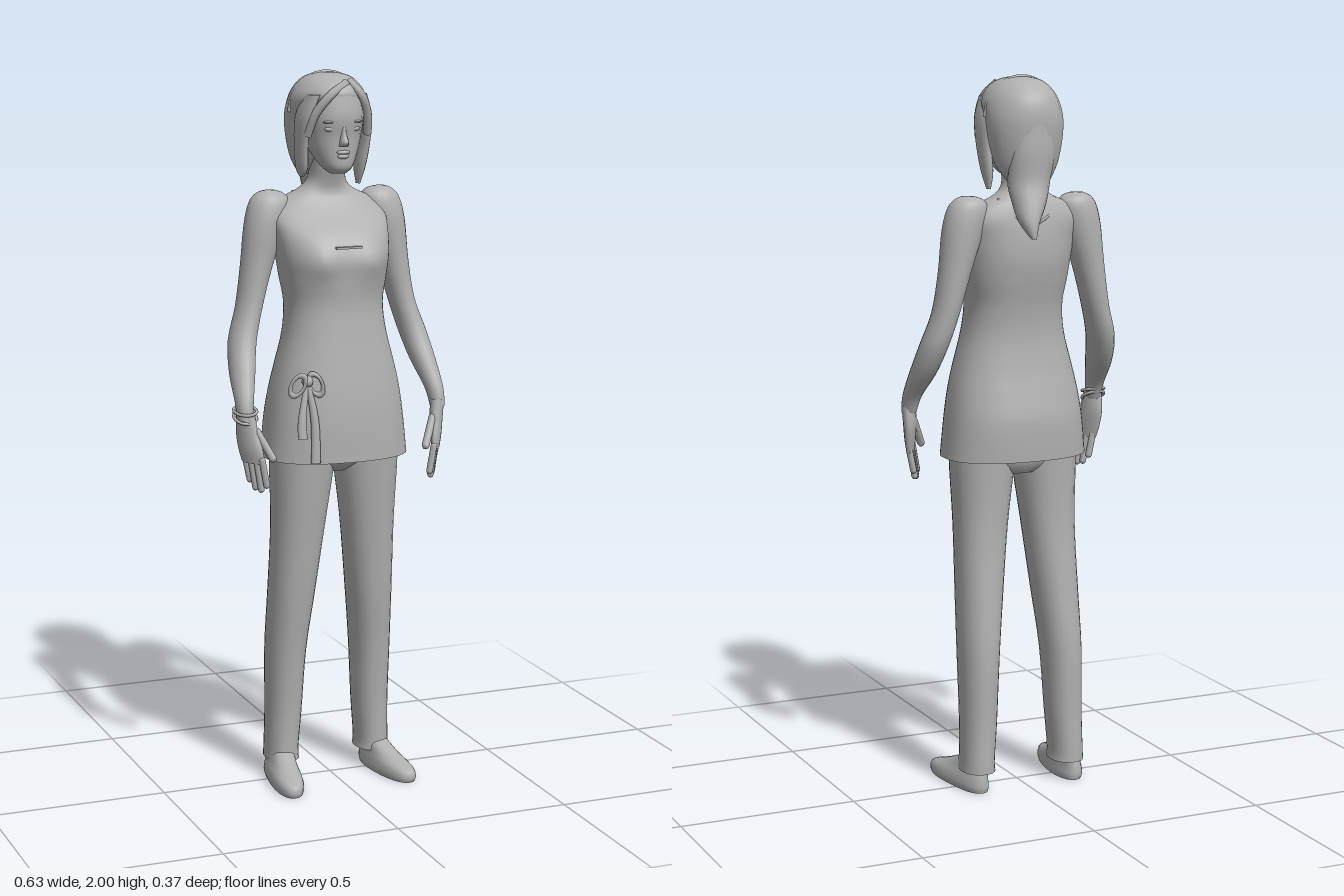
import * as THREE from 'three';

const grey = new THREE.MeshStandardMaterial({ color: 0xb0b0b0, side: THREE.DoubleSide });
grey.name = 'plain grey';

// Smooth value through four neighbouring ring values
const cubic = (a, b, c, d, t) =>
  b + 0.5 * t * (c - a + t * (2 * a - 5 * b + 4 * c - d + t * (3 * (b - c) + d - a)));

// Skin stacked rings, bottom to top: [y, xMin, xMax, zBack, zFront]; n squares the outline
function loft(name, rings, { n = 2, seg = 24, sub = 4, side = 1, caps = true, warp } = {}) {
  const rows = [];
  const last = rings.length - 1;
  for (let i = 0; i <= last * sub; i++) {
    const k = Math.min(Math.floor(i / sub), last - 1), t = i / sub - k;
    const at = (j) => rings[Math.max(0, Math.min(last, j))];
    rows.push(rings[0].map((_, c) => cubic(at(k - 1)[c], at(k)[c], at(k + 1)[c], at(k + 2)[c], t)));
  }
  const pos = [], idx = [];
  const bend = (v) => Math.sign(v) * Math.pow(Math.abs(v), 2 / n);
  const put = (row, a, r = 1) => {
    const [y, x0, x1, z0, z1] = row;
    const v = new THREE.Vector3(
      (side * (x0 + x1)) / 2 + (r * bend(Math.cos(a)) * (x1 - x0)) / 2, y,
      (z0 + z1) / 2 + (r * bend(Math.sin(a)) * (z1 - z0)) / 2);
    if (warp) warp(v);
    pos.push(v.x, v.y, v.z);
  };
  rows.forEach((row) => { for (let j = 0; j < seg; j++) put(row, (j / seg) * Math.PI * 2); });
  for (let i = 0; i < rows.length - 1; i++) {
    for (let j = 0; j < seg; j++) {
      const a = i * seg + j, b = i * seg + ((j + 1) % seg);
      idx.push(a, a + seg, b, b, a + seg, b + seg);
    }
  }
  // Separate cap corners keep the end edges crisp
  if (caps) [rows[0], rows[rows.length - 1]].forEach((row, top) => {
    const c = pos.length / 3;
    put(row, 0, 0);
    for (let j = 0; j < seg; j++) put(row, (j / seg) * Math.PI * 2);
    for (let j = 0; j < seg; j++) {
      const a = c + 1 + j, b = c + 1 + ((j + 1) % seg);
      if (top) idx.push(c, b, a); else idx.push(c, a, b);
    }
  });
  const g = new THREE.BufferGeometry();
  g.setAttribute('position', new THREE.Float32BufferAttribute(pos, 3));
  g.setIndex(idx);
  g.computeVertexNormals();
  return part(name, g);
}

function part(name, geometry, x = 0, y = 0, z = 0) {
  const m = new THREE.Mesh(geometry, grey);
  m.name = name;
  m.position.set(x, y, z);
  return m;
}

function blob(name, x, y, z, sx, sy, sz) {
  const m = part(name, new THREE.SphereGeometry(1, 14, 10), x, y, z);
  m.scale.set(sx, sy, sz);
  return m;
}

function tube(name, points, r) {
  const curve = new THREE.CatmullRomCurve3(points.map((p) => new THREE.Vector3(...p)));
  return part(name, new THREE.TubeGeometry(curve, 14, r, 6), 0, 0, 0);
}

// Finger with a rounded tip
function finger(name, from, to, r) {
  const a = new THREE.Vector3(...from), b = new THREE.Vector3(...to);
  const m = part(name, new THREE.CapsuleGeometry(r, a.distanceTo(b) - r, 3, 8));
  m.position.copy(a).lerp(b, 0.5);
  m.quaternion.setFromUnitVectors(new THREE.Vector3(0, 1, 0), b.sub(a).normalize());
  return m;
}

function makeHand(s) {
  const hand = new THREE.Group();
  hand.name = s > 0 ? 'leftHand' : 'rightHand';
  hand.add(loft('palm', [
    [-0.125, -0.01, 0.01, -0.012, 0.066], [-0.09, -0.015, 0.014, -0.024, 0.06],
    [-0.045, -0.02, 0.016, -0.032, 0.042], [0.01, -0.02, 0.02, -0.027, 0.027],
  ], { side: s, seg: 16 }));
  for (let i = 0; i < 4; i++) {
    const z = -0.002 + i * 0.0195, len = [0.06, 0.08, 0.084, 0.07][i];
    hand.add(finger('finger', [0, -0.11, z], [-0.012 * s, -0.12 - len, z + 0.008], 0.0095));
  }
  hand.add(finger('thumb', [-0.008 * s, -0.035, 0.03], [-0.022 * s, -0.115, 0.08], 0.011));
  hand.position.set(0.285 * s, 1.08, 0.096);
  hand.rotation.y = -0.55 * s;
  return hand;
}

function makeHead() {
  const head = new THREE.Group();
  head.name = 'head';
  head.add(loft('face', [
    [1.727, -0.022, 0.022, 0.035, 0.082], [1.745, -0.042, 0.042, 0, 0.098],
    [1.785, -0.064, 0.064, -0.05, 0.1], [1.83, -0.077, 0.077, -0.08, 0.102],
    [1.88, -0.082, 0.082, -0.08, 0.109], [1.94, -0.075, 0.075, -0.08, 0.1],
  ], { n: 2.2 }));
  head.add(loft('nose', [
    [1.803, -0.013, 0.013, 0.085, 0.112], [1.814, -0.012, 0.012, 0.085, 0.123],
    [1.835, -0.008, 0.008, 0.085, 0.112], [1.86, -0.006, 0.006, 0.085, 0.106],
  ], { seg: 12 }));
  head.add(blob('upperLip', 0, 1.786, 0.099, 0.02, 0.006, 0.009));
  head.add(blob('lowerLip', 0, 1.775, 0.098, 0.017, 0.007, 0.009));
  for (const s of [-1, 1]) {
    head.add(blob('eye', 0.034 * s, 1.849, 0.09, 0.017, 0.008, 0.009));
    head.add(blob('brow', 0.036 * s, 1.868, 0.095, 0.022, 0.004, 0.008));
  }

  // Hair cap, fringe, side locks and tail
  head.add(loft('hairCap', [
    [1.715, -0.06, 0.06, -0.125, -0.035], [1.76, -0.088, 0.088, -0.135, 0.005],
    [1.82, -0.103, 0.103, -0.147, 0.03], [1.88, -0.108, 0.108, -0.152, 0.05],
    [1.93, -0.103, 0.103, -0.145, 0.1], [1.965, -0.083, 0.083, -0.12, 0.085],
    [1.986, -0.055, 0.055, -0.085, 0.05], [1.994, -0.018, 0.018, -0.04, 0.01],
  ]));
  for (const s of [-1, 1]) {
    head.add(loft('sideLock', [
      [s > 0 ? 1.69 : 1.715, 0.078, 0.088, -0.01, 0.012], [1.74, 0.07, 0.1, -0.02, 0.035],
      [1.81, 0.074, 0.107, -0.02, 0.055], [1.88, 0.07, 0.105, -0.02, 0.075],
      [1.94, 0.05, 0.085, 0, 0.085],
    ], { side: s, seg: 12 }));
  }
  head.add(tube('fringe', [[0.03, 1.975, 0.06], [0.055, 1.94, 0.09], [0.078, 1.89, 0.077], [0.088, 1.83, 0.055]], 0.012));
  head.add(tube('fringe', [[0.02, 1.97, 0.07], [-0.035, 1.94, 0.095], [-0.073, 1.89, 0.08], [-0.088, 1.83, 0.055]], 0.012));
  head.add(loft('hairTail', [
    [1.567, 0.022, 0.036, -0.187, -0.165], [1.61, 0.002, 0.058, -0.183, -0.115],
    [1.66, -0.028, 0.066, -0.17, -0.078], [1.72, -0.05, 0.07, -0.153, -0.05],
    [1.8, -0.06, 0.065, -0.155, -0.07], [1.9, -0.04, 0.04, -0.15, -0.08],
  ], { seg: 16 }));
  head.add(part('hairBand', new THREE.TorusGeometry(0.107, 0.005, 6, 32, Math.PI), 0, 1.888, -0.03));
  return head;
}

export function createModel() {
  const model = new THREE.Group();
  model.name = 'standingWoman';
  model.add(makeHead());

  // Tunic and upper body, with a rule that shapes the bust
  const bust = (v) => {
    if (v.z < 0.03) return;
    const h = Math.exp(-(((v.y - 1.49) / 0.055) ** 2));
    v.z += h * (0.016 * Math.exp(-(((Math.abs(v.x) - 0.075) / 0.045) ** 2)) - 0.004);
  };
  model.add(loft('torso', [
    [0.945, -0.206, 0.206, -0.122, 0.176], [1.05, -0.195, 0.195, -0.124, 0.174],
    [1.13, -0.183, 0.183, -0.11, 0.167], [1.2, -0.167, 0.167, -0.096, 0.158],
    [1.29, -0.144, 0.144, -0.086, 0.146], [1.37, -0.136, 0.136, -0.092, 0.138],
    [1.44, -0.147, 0.147, -0.106, 0.143], [1.5, -0.156, 0.156, -0.115, 0.148],
    [1.56, -0.162, 0.162, -0.114, 0.118], [1.61, -0.165, 0.165, -0.108, 0.062],
    [1.65, -0.13, 0.13, -0.098, 0.025], [1.675, -0.08, 0.08, -0.088, 0.016],
    [1.7, -0.054, 0.054, -0.078, 0.02], [1.74, -0.047, 0.047, -0.07, 0.032],
    [1.8, -0.047, 0.047, -0.065, 0.04],
  ], { n: 2.4, seg: 48, caps: false, warp: bust }));
  model.add(part('necklineFold', new THREE.BoxGeometry(0.075, 0.006, 0.02), 0, 1.532, 0.135));
  model.add(tube('backNeckline', [[-0.085, 1.668, -0.065], [-0.055, 1.625, -0.099],
    [0, 1.6, -0.109], [0.055, 1.625, -0.099], [0.085, 1.668, -0.065]], 0.004));
  model.add(loft('hips', [
    [0.9, -0.06, 0.06, -0.05, 0.07], [0.95, -0.17, 0.17, -0.075, 0.12], [1.1, -0.17, 0.17, -0.09, 0.14],
  ]));

  // Tied sash at the right hip
  const bow = new THREE.Group();
  bow.name = 'sashBow';
  bow.add(blob('knot', -0.125, 1.175, 0.15, 0.016, 0.016, 0.016));
  for (const [dx, turn] of [[-0.028, 0.5], [0.024, -0.4]]) {
    const loop = part('bowLoop', new THREE.TorusGeometry(0.022, 0.006, 6, 16), -0.125 + dx, 1.165, 0.152);
    loop.scale.set(0.8, 1.4, 1);
    loop.rotation.set(0, -0.4, -turn);
    bow.add(loop);
  }
  for (const [x, low] of [[-0.108, 0.95], [-0.145, 1.02]]) {
    bow.add(loft('sashTail', [
      [low, x - 0.014, x + 0.014, 0.162, 0.178], [1.07, x - 0.012, x + 0.012, 0.15, 0.172],
      [1.175, -0.132, -0.118, 0.142, 0.154],
    ], { seg: 10 }));
  }
  model.add(bow);

  for (const s of [-1, 1]) {
    const tag = s > 0 ? 'left' : 'right';
    model.add(loft(tag + 'Arm', [
      [1.07, 0.265, 0.305, 0.07, 0.122], [1.12, 0.256, 0.307, 0.044, 0.112],
      [1.19, 0.235, 0.304, -0.02, 0.078], [1.27, 0.215, 0.292, -0.063, 0.038],
      [1.36, 0.19, 0.264, -0.08, 0.017], [1.47, 0.158, 0.247, -0.088, 0.014],
      [1.58, 0.12, 0.236, -0.092, 0.018], [1.64, 0.105, 0.222, -0.088, 0.01],
      [1.666, 0.12, 0.203, -0.076, -0.005], [1.676, 0.145, 0.182, -0.055, -0.025],
    ], { side: s, seg: 20 }));
    model.add(makeHand(s));

    // Trouser leg with a slightly flared hem
    model.add(loft(tag + 'TrouserLeg', [
      [0.055, 0.09, 0.186, -0.096, 0.034], [0.09, 0.092, 0.184, -0.096, 0.034],
      [0.2, 0.083, 0.182, -0.094, 0.038], [0.38, 0.073, 0.183, -0.096, 0.056],
      [0.55, 0.054, 0.18, -0.082, 0.08], [0.75, 0.03, 0.178, -0.066, 0.102],
      [0.93, 0.006, 0.184, -0.07, 0.122], [1.02, 0.005, 0.18, -0.075, 0.13],
    ], { side: s, n: 2.2 }));

    // Shoe turned a little outward toward the toe
    const splay = (v) => { v.x += s * 0.13 * v.z * (v.z > 0 ? 1 : 0.4); };
    model.add(loft(tag + 'Shoe', [
      [0, 0.108, 0.192, -0.09, 0.18], [0.014, 0.105, 0.196, -0.093, 0.184],
      [0.034, 0.108, 0.192, -0.092, 0.172], [0.055, 0.112, 0.182, -0.088, 0.105],
      [0.085, 0.112, 0.172, -0.08, 0.03],
    ], { side: s, n: 2.3, warp: splay }));
  }

  // Bangles on the right wrist
  for (const [y, tilt] of [[1.095, 0.25], [1.078, 0.5]]) {
    const ring = part('bangle', new THREE.TorusGeometry(0.032, 0.0045, 6, 20), -0.284, y, 0.092);
    ring.rotation.set(Math.PI / 2 + tilt, 0, 0);
    model.add(ring);
  }
  return model;
}
